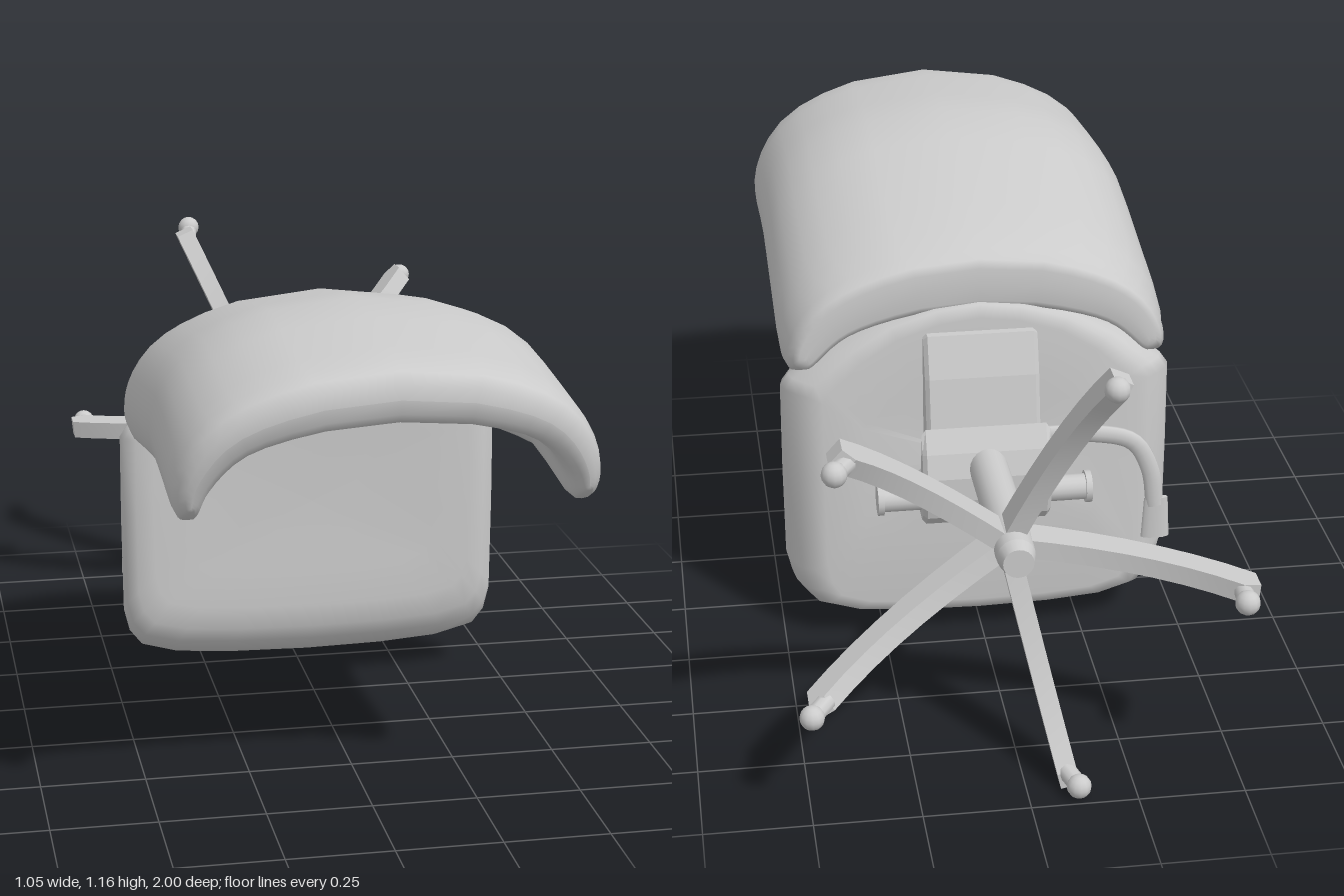
import * as THREE from 'three';
import { toCreasedNormals } from 'three/addons/utils/BufferGeometryUtils.js';

const material = new THREE.MeshStandardMaterial({ color: 0xcccccc });
const V = (x, y, z) => new THREE.Vector3(x, y, z);

function add(parent, name, geometry) {
  const mesh = new THREE.Mesh(geometry, material);
  mesh.name = name;
  parent.add(mesh);
  return mesh;
}

// Smooth skin over closed loops of equal length, ordered from +z to -z
function loft(loops) {
  const n = loops[0].length, index = [];
  for (let j = 0; j < loops.length - 1; j++) {
    for (let i = 0; i < n; i++) {
      const a = j * n + i, b = j * n + (i + 1) % n;
      index.push(a, a + n, b, b, a + n, b + n);
    }
  }
  const geometry = new THREE.BufferGeometry().setFromPoints(loops.flat());
  geometry.setIndex(index);
  geometry.computeVertexNormals();
  return geometry;
}

// Round bar between two points
function rod(parent, name, from, to, r0, r1 = r0, sides = 16) {
  const dir = to.clone().sub(from);
  const mesh = add(parent, name, new THREE.CylinderGeometry(r1, r0, dir.length(), sides));
  mesh.position.copy(from).addScaledVector(dir, 0.5);
  mesh.quaternion.setFromUnitVectors(V(0, 1, 0), dir.normalize());
  return mesh;
}

// Seat cushion: one outline, inset and shifted through its thickness
function seatGeometry() {
  const right = [[0, 0.06], [0.2, 0.064], [0.35, 0.075], [0.44, 0.1], [0.47, 0.14], [0.484, 0.2],
    [0.486, 0.45], [0.485, 0.68], [0.465, 0.71], [0.42, 0.745], [0.36, 0.793], [0.25, 0.853], [0.12, 0.89], [0, 0.903]];
  const outline = [...right, ...right.slice(1, -1).reverse().map(([x, y]) => [-x, y])];
  const layers = [ // z, width factor, lowest y, highest y, backward lean towards the bottom
    [-0.055, 0, 0.5, 0.5, 0], [-0.052, 0.65, 0.32, 0.76, 0], [-0.046, 0.84, 0.22, 0.84, 0], [-0.055, 0.93, 0.16, 0.87, 0],
    [-0.075, 0.985, 0.12, 0.885, 0], [-0.105, 1, 0.085, 0.895, 0], [-0.135, 0.98, 0.07, 0.9, 0],
    [-0.165, 0.925, 0.06, 0.903, 0.008], [-0.187, 0.87, 0.07, 0.9, 0.018], [-0.2, 0.8, 0.1, 0.87, 0.02],
    [-0.203, 0.6, 0.3, 0.7, 0.02], [-0.203, 0, 0.5, 0.5, 0.02],
  ];
  return loft(layers.map(([z, w, lo, hi, lean]) => outline.map(([x, y]) => {
    const h = (y - 0.06) / 0.84;
    return V(0.005 + x * w, lo + (hi - lo) * h, z - lean * (0.7 - h));
  })));
}

// Backrest: arched padded section swept along z
function backrestGeometry() {
  const half = [[0.445, 0.785], [0.436, 0.89], [0.36, 0.998], [0.2, 1.066]];
  const arch = new THREE.CatmullRomCurve3([
    ...half.map(([x, y]) => V(-x, y, 0)), V(0, 1.09, 0), ...half.reverse().map(([x, y]) => V(x, y, 0))]);
  const stations = [ // z, y shift, thickness factor, span factor
    [1, -0.045, 0, 0.9], [0.998, -0.045, 0.45, 0.91], [0.98, -0.042, 0.8, 0.94], [0.94, -0.038, 0.97, 0.98],
    [0.86, -0.03, 1, 1], [0.66, -0.01, 1, 1], [0.5, 0, 1, 1], [0.35, -0.022, 1, 1], [0.05, -0.08, 1, 0.99],
    [-0.05, -0.105, 1, 0.95], [-0.13, -0.127, 0.97, 0.88], [-0.165, -0.137, 0.87, 0.83],
    [-0.172, -0.14, 0.6, 0.8], [-0.172, -0.14, 0, 0.78],
  ];
  const pow = (v) => Math.sign(v) * Math.abs(v) ** 0.55;
  const N = 56;
  return loft(stations.map(([z, dy, thick, span]) => Array.from({ length: N }, (_, i) => {
    const a = (i / N) * Math.PI * 2;
    const s = pow(Math.cos(a)) * span, t = pow(Math.sin(a)) * thick * (0.07 - 0.023 * s * s);
    const u = (s + 1) / 2, p = arch.getPointAt(u), tan = arch.getTangentAt(u);
    const bulge = 0.1 * s * s * Math.max(0, (z - 0.5) / 0.5);
    return V(0.005 + p.x - tan.y * t, p.y + tan.x * t + dy, z - bulge);
  })));
}

// Side profile in (z, y) extruded across x
function acrossX(parent, name, profile, width) {
  const shape = new THREE.Shape(profile.map(([z, y]) => new THREE.Vector2(z, y)));
  const geometry = new THREE.ExtrudeGeometry(shape, {
    depth: width - 0.02, bevelSize: 0.01, bevelThickness: 0.01, bevelOffset: -0.01, bevelSegments: 1 });
  geometry.translate(0, 0, -(width - 0.02) / 2);
  geometry.applyMatrix4(new THREE.Matrix4().makeBasis(V(0, 0, 1), V(0, 1, 0), V(-1, 0, 0)));
  return add(parent, name, geometry);
}

export function createModel() {
  const chair = new THREE.Group();
  chair.name = 'officeChair';
  add(chair, 'seat', seatGeometry());
  add(chair, 'backrest', backrestGeometry());

  // Tilt mechanism under the seat
  const mechanism = new THREE.Group();
  mechanism.name = 'tiltMechanism';
  mechanism.position.x = 0.007;
  chair.add(mechanism);
  acrossX(mechanism, 'backrestBracket',
    [[-0.185, 0.84], [-0.215, 0.84], [-0.25, 0.74], [-0.3, 0.49], [-0.19, 0.49]], 0.28);
  acrossX(mechanism, 'housing',
    [[-0.2, 0.38], [-0.31, 0.38], [-0.34, 0.41], [-0.353, 0.46], [-0.353, 0.52], [-0.335, 0.58],
      [-0.305, 0.635], [-0.28, 0.5], [-0.2, 0.48]], 0.315);
  for (const side of [-1, 1]) {
    rod(mechanism, 'knobShaft', V(side * 0.14, 0.44, -0.28), V(side * 0.25, 0.44, -0.28), 0.032);
    rod(mechanism, 'knobCap', V(side * 0.25, 0.44, -0.28), V(side * 0.265, 0.44, -0.28), 0.04);
  }

  // Bent, flattened height lever with a grip
  const path = new THREE.CatmullRomCurve3([V(-0.12, 0.575, 0), V(-0.27, 0.57, 0),
    V(-0.375, 0.54, 0), V(-0.42, 0.46, 0), V(-0.435, 0.36, 0)]);
  const lever = add(mechanism, 'lever', new THREE.TubeGeometry(path, 24, 0.023, 10));
  lever.scale.z = 0.6;
  lever.position.z = -0.25;
  const grip = add(mechanism, 'leverGrip', new THREE.CylinderGeometry(0.03, 0.036, 0.11, 12));
  grip.scale.z = 0.35;
  grip.position.set(-0.438, 0.325, -0.25);

  // Gas column and hub
  rod(chair, 'column', V(0.005, 0.54, -0.33), V(0.005, 0.54, -0.7), 0.047, 0.047, 20);
  rod(chair, 'hub', V(0.005, 0.54, -0.66), V(0.005, 0.54, -0.78), 0.05, 0.045, 20);
  rod(chair, 'hubCap', V(0.005, 0.54, -0.78), V(0.005, 0.54, -0.815), 0.045, 0.036, 20);

  // Five curved legs: profile in (radius, z)
  const legShape = new THREE.Shape();
  legShape.moveTo(0.01, -0.655);
  legShape.quadraticCurveTo(0.34, -0.72, 0.545, -0.88);
  legShape.lineTo(0.545, -0.935);
  legShape.lineTo(0.505, -0.935);
  legShape.quadraticCurveTo(0.32, -0.79, 0.01, -0.74);
  const legGeometry = new THREE.ExtrudeGeometry(legShape, { depth: 0.046, bevelEnabled: false, curveSegments: 7 });
  legGeometry.translate(0, 0, -0.023);
  const creased = toCreasedNormals(legGeometry, 0.5);
  const casters = [[0.43, 0.88], [-0.18, 1.04], [-0.49, 0.49], [-0.115, 0.033], [0.493, 0.273]];
  casters.forEach(([x, y], k) => {
    const a = THREE.MathUtils.degToRad(41.5 + 72 * k), c = Math.cos(a), s = Math.sin(a);
    const leg = add(chair, 'leg', creased);
    leg.quaternion.setFromRotationMatrix(new THREE.Matrix4().makeBasis(V(c, s, 0), V(0, 0, 1), V(s, -c, 0)));
    leg.position.set(0.016, 0.541, 0);
    rod(chair, 'casterStem', V(0.016 + 0.51 * c, 0.541 + 0.51 * s, -0.92), V(x, y, -0.97), 0.022, 0.022, 10);
    add(chair, 'caster', new THREE.SphereGeometry(0.029, 12, 8)).position.set(x, y, -0.971);
  });
  return chair;
}
